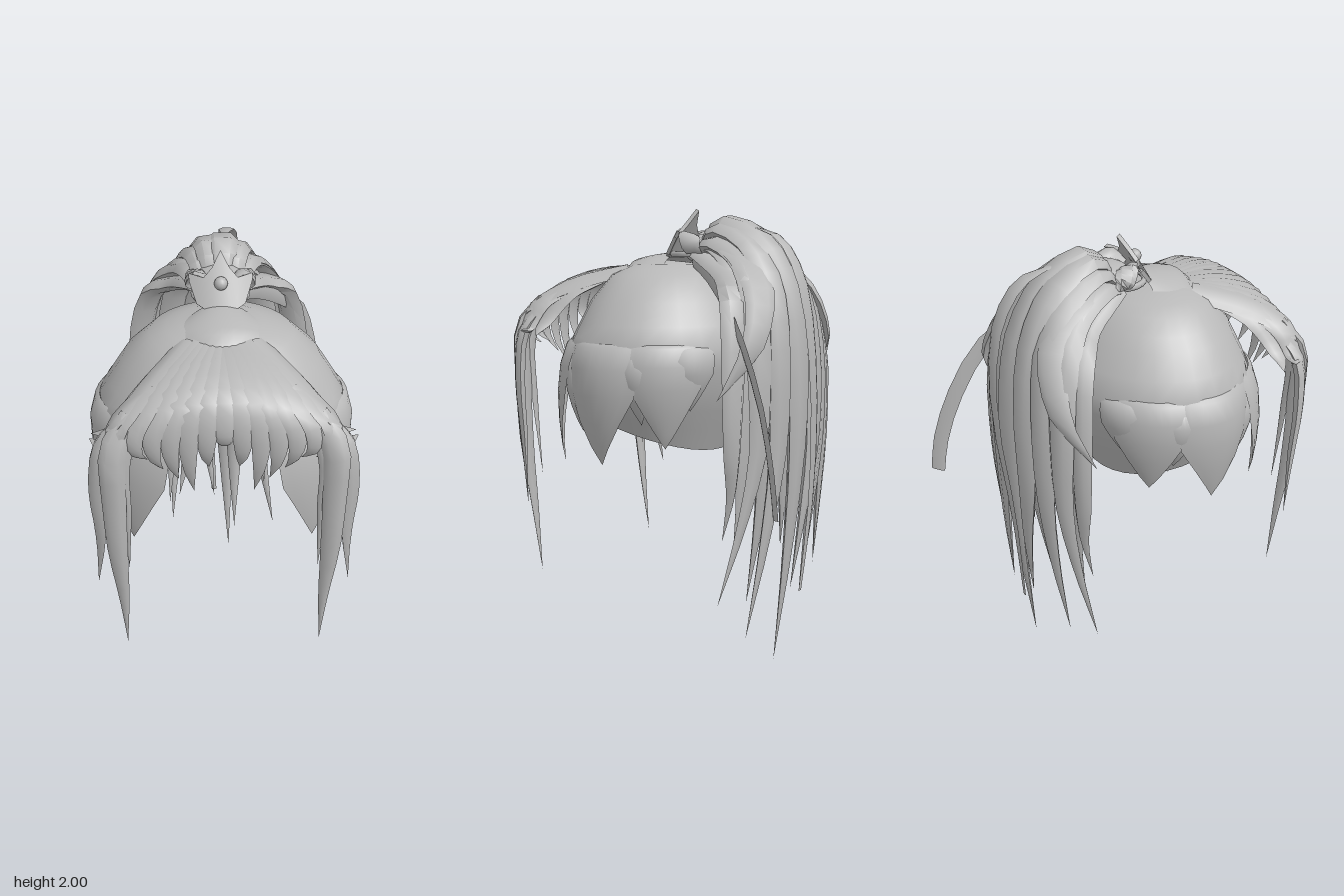
import * as THREE from 'three';
import { toCreasedNormals } from 'three/addons/utils/BufferGeometryUtils.js';

const grey = new THREE.MeshStandardMaterial({ color: 0xb8b8b8, side: THREE.DoubleSide });
grey.name = 'plain grey';

function part(name, geometry, parent) {
  const mesh = new THREE.Mesh(geometry, grey);
  mesh.name = name;
  parent.add(mesh);
  return mesh;
}

// Surface through rows of points
function skin(rows, closed, crease = 0.8) {
  const n = rows[0].length, pos = rows.flat(2), index = [];
  for (let r = 0; r < rows.length - 1; r++) {
    for (let i = 0; i < (closed ? n : n - 1); i++) {
      const a = r * n + i, b = r * n + (i + 1) % n;
      index.push(a, a + n, b, b, a + n, b + n);
    }
  }
  const g = new THREE.BufferGeometry();
  g.setAttribute('position', new THREE.Float32BufferAttribute(pos, 3));
  g.setIndex(index);
  return toCreasedNormals(g, crease);
}

// Piecewise linear lookup in a list of [key, value]
function lookup(table, k) {
  for (let i = 1; i < table.length; i++) {
    const [k0, v0] = table[i - 1], [k1, v1] = table[i];
    if (k <= k1) return THREE.MathUtils.lerp(v0, v1, (k - k0) / (k1 - k0));
  }
  return table[table.length - 1][1];
}

// Tapered lens-section strand: half widths are spread evenly along the path
function lock(points, widths, flat = 0.35, across = [1, 0, 0], segments = 12) {
  const curve = new THREE.CatmullRomCurve3(points.map(p => new THREE.Vector3(...p)));
  const table = widths.map((w, i) => [i / (widths.length - 1), w]);
  const rows = [];
  for (let s = 0; s <= segments; s++) {
    const t = s / segments, c = curve.getPoint(t), tan = curve.getTangent(t);
    const side = new THREE.Vector3(...across);
    side.addScaledVector(tan, -side.dot(tan)).normalize();
    const up = new THREE.Vector3().crossVectors(tan, side);
    const w = lookup(table, t);
    rows.push([0, 1, 2, 3, 4, 5].map(k => {
      const a = k * Math.PI / 3;
      return c.clone().addScaledVector(side, w * Math.cos(a))
        .addScaledVector(up, w * flat * Math.sin(a)).toArray();
    }));
  }
  return skin(rows, true, 0.9);
}

// Skull cap: relative radius at each height
const capProfile = [[0.93, 0.63], [1.2, 0.9], [1.4, 1], [1.6, 0.77], [1.71, 0.56], [1.755, 0.33], [1.77, 0]];
function onCap(theta, r, y) {
  const c = Math.cos(theta);
  return [0.53 * r * Math.sin(theta), y, 0.17 + (c > 0 ? 0.4 : 0.46) * r * c];
}
function cap() {
  const rows = [];
  for (let k = 0; k <= 12; k++) {
    const row = [];
    for (let i = 0; i < 32; i++) {
      const theta = i * Math.PI / 16, c = Math.cos(theta);
      const bottom = c < 0 ? 1.05 + 0.12 * c : THREE.MathUtils.lerp(1.05, 1.47, THREE.MathUtils.smoothstep(c, 0.1, 0.85));
      const y = k < 7 ? [1.77, 1.755, 1.735, 1.71, 1.65, 1.6, 1.5][k] : THREE.MathUtils.lerp(1.5, bottom, (k - 6) / 6);
      row.push(onCap(theta, lookup(capProfile, y), y));
    }
    rows.push(row);
  }
  return skin(rows, true, 1);
}

// Pointed panel wrapped around the cap
function panel(side, theta, half, top, tip, lift = 0) {
  const wide = [1, 1, 1, 0.92, 0.58, 0.27, 0], radius = [0.97, 1.01, 1.05, 1.04, 0.99, 0.93, 0.87];
  const drop = [0, 0.03, 0.2, 0.42, 0.65, 0.85, 1];
  const rows = wide.map((w, k) => {
    const row = [];
    for (let u = -1; u <= 1; u += 0.25) {
      const r = radius[k] + lift * drop[k] - 0.04 * u * u * w;
      row.push(onCap(side * (theta + u * w * half), r, THREE.MathUtils.lerp(top, tip, drop[k])));
    }
    return row;
  });
  return skin(rows, false, 0.8);
}

// Curved tiara plate: [x, bottom, top] columns
function tiaraPlate() {
  const columns = [[0, -0.025, 0.22], [0.035, -0.022, 0.15], [0.07, -0.015, 0.11], [0.1, 0.005, 0.12], [0.13, 0.1, 0.13]];
  const mirrored = columns.slice(1).reverse().map(([x, b, t]) => [-x, b, t]);
  const rows = [...mirrored, ...columns].map(([x, b, t]) => {
    const z = -2 * x * x;
    return [[x, b, z], [x, t, z], [x, t, z - 0.018], [x, b, z - 0.018]];
  });
  return skin(rows, true, 0.6);
}

// Rounded tuft with a turned-down front edge
function forelock() {
  const rows = [];
  for (let k = 0; k <= 6; k++) {
    const t = k / 6, row = [];
    for (let u = -1; u <= 1; u += 0.25) {
      const y = 1.805 - 0.04 * t * t - 0.05 * u * u - (k === 6 ? 0.025 : 0);
      row.push([u * (0.12 + 0.06 * Math.sin(t * 2.2)), y, 0.11 + 0.24 * t * (1 - 0.2 * u * u)]);
    }
    rows.push(row);
  }
  return skin(rows, false);
}

export function createModel() {
  const model = new THREE.Group();
  model.name = 'wig';
  part('skullCap', cap(), model);

  // Side panels and long front locks, mirrored
  for (const s of [1, -1]) {
    const sides = new THREE.Group();
    sides.name = s > 0 ? 'leftSideHair' : 'rightSideHair';
    model.add(sides);
    const panels = [[0.76, 0.35, 1.43, 0.87, 0.18], [1.51, 0.46, 1.43, 0.9, 0.04], [2.2, 0.34, 1.43, 0.98, 0.02],
      [1.06, 0.16, 1.36, 1.02, 0.02], [1.95, 0.17, 1.38, 1.08, -0.02], [2.45, 0.2, 1.42, 1.14, 0.02]];
    for (const p of panels) part('sidePanel', panel(s, ...p), sides);

    part('longLock', lock([[s * 0.36, 1.6, 0.6], [s * 0.43, 1.48, 0.66], [s * 0.44, 1.25, 0.665], [s * 0.44, 0.95, 0.655],
      [s * 0.43, 0.65, 0.625], [s * 0.43, 0.35, 0.59]], [0.04, 0.055, 0.05, 0.042, 0.022, 0], 0.6), sides);
    part('outerLock', lock([[s * 0.4, 1.56, 0.58], [s * 0.48, 1.46, 0.62], [s * 0.515, 1.25, 0.62], [s * 0.51, 1, 0.61],
      [s * 0.54, 0.7, 0.57]], [0.03, 0.045, 0.04, 0.03, 0], 0.6, [0.7, 0, -0.7 * s]), sides);
    part('innerLock', lock([[s * 0.34, 1.58, 0.62], [s * 0.4, 1.42, 0.65], [s * 0.395, 1.15, 0.64], [s * 0.4, 0.8, 0.6]],
      [0.03, 0.035, 0.02, 0], 0.5), sides);
    // Flicked tips at the temple
    part('templeTip', lock([[s * 0.28, 1.66, 0.5], [s * 0.41, 1.57, 0.59], [s * 0.48, 1.47, 0.6], [s * 0.53, 1.47, 0.57]],
      [0.06, 0.06, 0.04, 0], 0.4, [0, 0, 1]), sides);
    part('templeTip', lock([[s * 0.22, 1.69, 0.4], [s * 0.34, 1.61, 0.5], [s * 0.44, 1.49, 0.54], [s * 0.53, 1.45, 0.51]],
      [0.06, 0.06, 0.04, 0], 0.35, [0, 0, 1]), sides);
  }

  // Fringe fanned over the forehead
  const fringe = new THREE.Group();
  fringe.name = 'fringe';
  model.add(fringe);
  const tips = [1.48, 1.36, 1.24, 1.3, 1.35, 1.4, 1.4];
  for (let i = -6; i <= 6; i++) {
    const a = i / 6, q = a * a;
    part('fringeLock', lock([[a * 0.15, 1.73, 0.28], [a * 0.28, 1.72 - 0.05 * q, 0.47], [a * 0.37, 1.67 - 0.07 * q, 0.62 - 0.03 * q],
      [a * 0.42, 1.57 - 0.03 * q, 0.665 - 0.02 * q], [a * 0.41, (1.56 + tips[Math.abs(i)]) / 2 - 0.02, 0.66], [a * 0.36, tips[Math.abs(i)], 0.62]],
    [0.05, 0.065, 0.065, 0.046, 0.026, 0], 0.28, [1, -0.6 * a, -0.2 * a]), fringe);
  }
  part('forelock', forelock(), fringe);

  // Ponytail: [x of the body, z of the body, tip x, tip y, tip z, half width]
  const tail = new THREE.Group();
  tail.name = 'ponytail';
  model.add(tail);
  const strands = [
    [0.03, -0.52, 0.055, 0, -0.43, 0.08], [-0.1, -0.52, -0.02, 0.32, -0.47, 0.075], [0.15, -0.5, 0.29, 0.17, -0.42, 0.075],
    [-0.2, -0.49, -0.24, 0.22, -0.4, 0.075], [0.26, -0.47, 0.44, 0.35, -0.37, 0.07], [-0.3, -0.46, -0.44, 0.32, -0.37, 0.07],
    [0.35, -0.4, 0.34, 0.6, -0.33, 0.06], [-0.35, -0.4, -0.37, 0.6, -0.35, 0.06], [0.08, -0.4, 0.08, 0.25, -0.3, 0.08],
    [-0.1, -0.37, -0.2, 0.45, -0.32, 0.08], [0.2, -0.35, 0.23, 0.52, -0.32, 0.07], [-0.22, -0.35, -0.25, 0.4, -0.32, 0.06],
  ];
  for (const [x, z, tx, ty, tz, w] of strands) {
    const crest = 1.93 - 0.9 * x * x - 0.4 * (z + 0.52);
    part('ponytailStrand', lock([[x * 0.3, 1.8, -0.05], [x * 0.38, crest, -0.13], [x * 0.55, crest - 0.07, -0.13 + (z + 0.13) * 0.5],
      [x * 0.82, 1.66 - 0.3 * x * x, z * 0.87], [x * 1.02, 1.38, z * 0.98], [x * 1.08, 1, z], [(x + tx) / 2, (1 + ty) / 2, (z + tz) / 2 - 0.01],
      [tx, ty, tz]], [w * 0.6, w * 0.85, w, w * 1.1, w, w * 0.75, w * 0.4, 0], 0.55, [1, -0.8 * x, 1.2 * x], 18), tail);
  }
  // Side flicks and a thin loose strand
  for (const s of [1, -1]) {
    part('ponytailFlick', lock([[s * 0.06, 1.82, -0.1], [s * 0.12, 1.82, -0.25], [s * 0.22, 1.66, -0.43], [s * 0.33, 1.45, -0.47],
      [s * 0.45, 1.22, -0.37]], [0.05, 0.07, 0.07, 0.05, 0], 0.35, [1, 0, s * 0.8]), tail);
  }
  part('looseStrand', lock([[0.02, 1.92, -0.28], [0.04, 1.87, -0.43], [0.05, 1.7, -0.54], [0.03, 1.35, -0.59], [-0.04, 0.8, -0.56],
    [-0.02, 0.32, -0.52]], [0.01, 0.04, 0.045, 0.035, 0.025, 0.012], 0.2), tail);

  // Ribbon trailing to one side
  part('ribbon', lock([[0.08, 1.77, -0.02], [0.17, 1.71, -0.15], [0.29, 1.58, -0.32], [0.385, 1.45, -0.45], [0.455, 1.2, -0.58], [0.5, 0.95, -0.655],
    [0.51, 0.78, -0.68]], [0.03, 0.03, 0.03, 0.033, 0.035, 0.035, 0.033], 0.15, [0.5, 0.6, -0.5]), model);

  // Hair knot with two loops, and tiara
  const knot = part('hairKnot', new THREE.SphereGeometry(1, 16, 12), model);
  knot.scale.set(0.12, 0.07, 0.11);
  knot.position.set(0, 1.82, -0.05);
  for (const s of [1, -1]) {
    part('knotLoop', lock([[s * 0.02, 1.85, 0.05], [s * 0.09, 1.88, 0], [s * 0.13, 1.83, -0.05], [s * 0.09, 1.78, -0.08]],
      [0.02, 0.045, 0.045, 0.02], 0.4, [0, 0.3, 1]), model);
  }
  const tiara = new THREE.Group();
  tiara.name = 'tiara';
  tiara.position.set(0, 1.81, 0.13);
  tiara.rotation.x = -0.55;
  model.add(tiara);
  part('tiaraPlate', tiaraPlate(), tiara);
  part('tiaraGem', new THREE.SphereGeometry(0.028, 14, 10), tiara).position.set(0, 0.085, 0.005);
  const band = part('tiaraBand', new THREE.TorusGeometry(0.11, 0.014, 6, 24), model);
  band.position.set(0, 1.8, 0.01);
  band.rotation.x = Math.PI / 2;
  return model;
}
